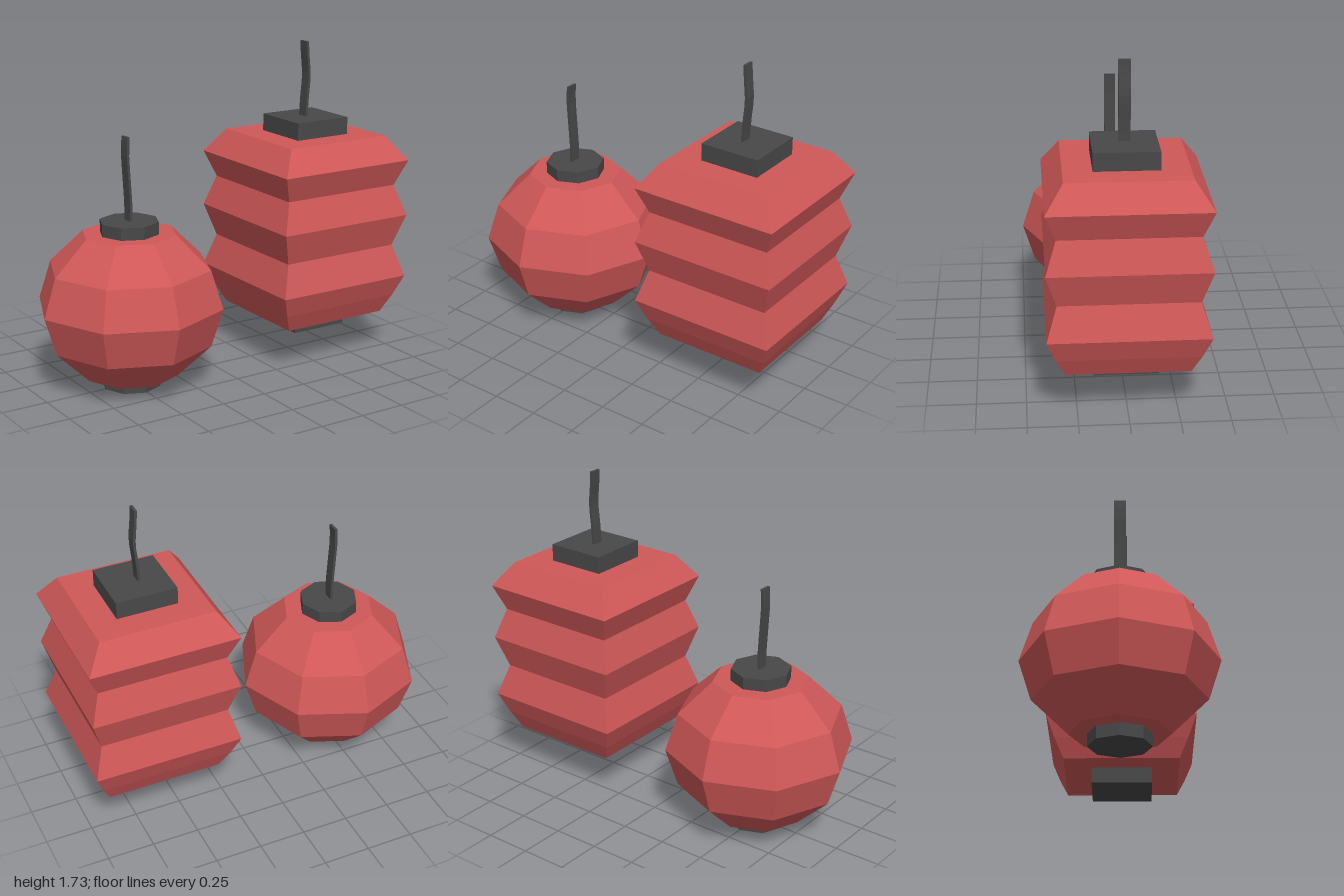
import * as THREE from 'three';

const paper = new THREE.MeshStandardMaterial({ name: 'red paper', color: 0xd05858, flatShading: true });
const trim = new THREE.MeshStandardMaterial({ name: 'charcoal trim', color: 0x484848, flatShading: true });

// Closed faceted solid from [radius, height] points, listed bottom to top
function faceted(name, profile, sides, turn, scale, material) {
  const [first, last] = [profile[0], profile[profile.length - 1]];
  const points = [[0, first[1]], ...profile, [0, last[1]]]
    .map(([r, y]) => new THREE.Vector2(r * scale, y));
  const mesh = new THREE.Mesh(new THREE.LatheGeometry(points, sides, turn), material);
  mesh.name = name;
  return mesh;
}

// Flat, gently bent hanging strap: path in x/y, wide along z
function strap(path) {
  const t = 0.007, width = 0.06;
  const curve = new THREE.SplineCurve(path.map(([x, y]) => new THREE.Vector2(x, y)));
  const line = curve.getPoints(8);
  const outline = [
    ...line.map(p => new THREE.Vector2(p.x + t, p.y)),
    ...line.map(p => new THREE.Vector2(p.x - t, p.y)).reverse(),
  ];
  const geometry = new THREE.ExtrudeGeometry(new THREE.Shape(outline), { depth: width, bevelEnabled: false });
  geometry.translate(0, 0, -width / 2);
  const mesh = new THREE.Mesh(geometry, trim);
  mesh.name = 'hangingStrap';
  return mesh;
}

function lantern({ name, x, sides, turn, scale, body, capRadius, bottom, top, path }) {
  const group = new THREE.Group();
  group.name = name;
  group.position.x = x;
  const cap = (capName, [y0, y1]) =>
    faceted(capName, [[capRadius, y0], [capRadius, y1]], sides, turn, scale, trim);
  group.add(
    faceted('paperShade', body, sides, turn, scale, paper),
    cap('bottomCap', bottom),
    cap('topCap', top),
    strap(path),
  );
  return group;
}

export function createModel() {
  const model = new THREE.Group();
  model.name = 'paperLanterns';

  // Eight-sided round lantern
  model.add(lantern({
    name: 'roundLantern', x: -0.505, sides: 8, turn: 0, scale: 1,
    body: [[0.25, 0.065], [0.43, 0.24], [0.495, 0.445], [0.43, 0.65], [0.25, 0.825]],
    capRadius: 0.157, bottom: [0, 0.075], top: [0.815, 0.89],
    path: [[-0.005, 0.88], [-0.003, 0.96], [-0.008, 1.06], [-0.014, 1.16], [-0.018, 1.25], [-0.013, 1.33]],
  }));

  // Square pleated lantern; radii are half widths, scaled out to the corners
  model.add(lantern({
    name: 'squareLantern', x: 0.598, sides: 4, turn: Math.PI / 4, scale: Math.SQRT2,
    body: [[0.308, 0.23], [0.355, 0.33], [0.4, 0.445], [0.347, 0.617], [0.4, 0.79],
      [0.347, 0.955], [0.4, 1.095], [0.308, 1.225]],
    capRadius: 0.163, bottom: [0.145, 0.24], top: [1.215, 1.318],
    path: [[-0.012, 1.31], [-0.008, 1.4], [0.003, 1.52], [0.001, 1.58], [-0.007, 1.66], [-0.011, 1.725]],
  }));

  return model;
}
